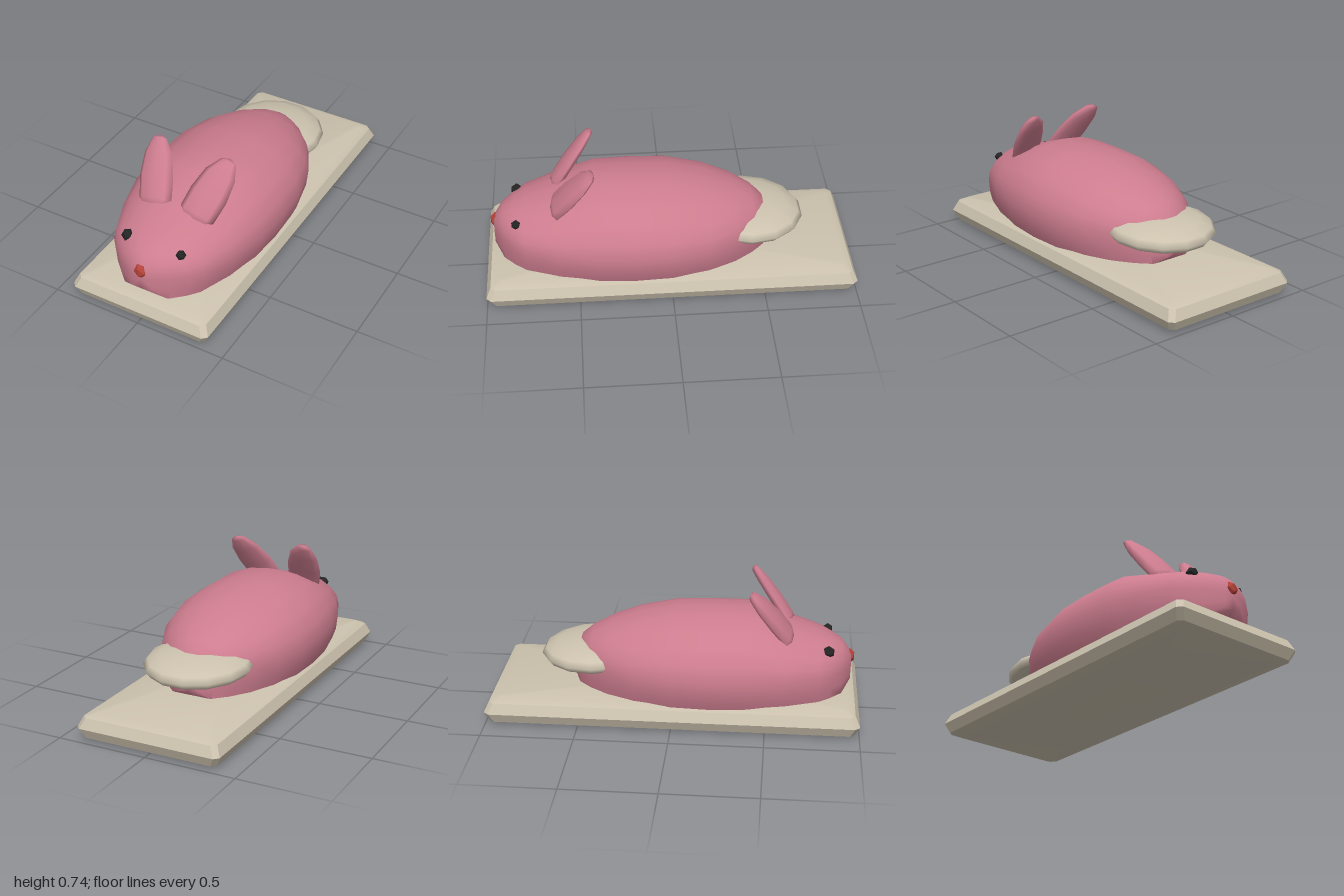
import * as THREE from 'three';
import { toCreasedNormals } from 'three/addons/utils/BufferGeometryUtils.js';

const material = (name, color) => {
  const m = new THREE.MeshStandardMaterial({ color });
  m.name = name;
  return m;
};

// Closed skin through rings of points (anticlockwise seen from the first end).
function loft(rings, first, last, crease) {
  const n = rings[0].length, pos = [...rings.flat(2), ...first, ...last], idx = [];
  const a = rings.length * n, b = a + 1, end = a - n;
  for (let j = 0; j < n; j++) {
    const k = (j + 1) % n;
    idx.push(a, j, k, b, end + k, end + j);
    for (let i = 0; i < rings.length - 1; i++) {
      const p = i * n, q = p + n;
      idx.push(p + j, q + j, p + k, p + k, q + j, q + k);
    }
  }
  const g = new THREE.BufferGeometry();
  g.setAttribute('position', new THREE.Float32BufferAttribute(pos, 3));
  g.setIndex(idx);
  g.computeVertexNormals();
  return crease ? toCreasedNormals(g, crease) : g;
}

// Rectangular slab with bevelled edges and clipped corners.
function slabGeometry() {
  const levels = [[0.15, 0.335, 0.935], [0.13, 0.38, 0.975], [0.075, 0.405, 1], [0.02, 0.38, 0.975], [0, 0.335, 0.935]];
  const c = 0.025;
  const rings = levels.map(([y, x, z]) => [
    [x, y, z - c], [x, y, -z + c], [x - c, y, -z], [-x + c, y, -z],
    [-x, y, -z + c], [-x, y, z - c], [-x + c, y, z], [x - c, y, z],
  ]);
  return loft(rings, [0, 0.15, 0], [0, 0, 0], 0.65);
}

// Domed body, flat underneath: z, half width, top, widest height, bottom.
function bodyGeometry() {
  const stations = [
    [0.95, 0.055, 0.34, 0.27, 0.2], [0.9, 0.15, 0.4, 0.285, 0.145], [0.84, 0.22, 0.43, 0.29, 0.14],
    [0.78, 0.272, 0.455, 0.295, 0.135], [0.6, 0.345, 0.51, 0.3, 0.13], [0.4, 0.392, 0.58, 0.3, 0.13],
    [0.2, 0.406, 0.577, 0.3, 0.13], [0, 0.398, 0.57, 0.3, 0.13], [-0.2, 0.352, 0.53, 0.3, 0.13],
    [-0.35, 0.278, 0.48, 0.3, 0.13], [-0.45, 0.2, 0.435, 0.28, 0.135], [-0.515, 0.13, 0.385, 0.26, 0.145],
    [-0.55, 0.05, 0.28, 0.22, 0.18],
  ];
  const rings = stations.map(([z, w, top, mid, bot]) => {
    const ring = [];
    for (let i = 0; i <= 10; i++) {
      const t = (i / 10) * Math.PI;
      ring.push([w * Math.cos(t), mid + (top - mid) * Math.sin(t), z]);
    }
    for (const [fx, fy] of [[-0.97, 0.55], [-0.89, 1], [0, 1], [0.89, 1], [0.97, 0.55]])
      ring.push([w * fx, mid + (bot - mid) * fy, z]);
    return ring;
  });
  return loft(rings, [0, 0.27, 0.955], [0, 0.22, -0.555], 0.9);
}

// Flattened ear leaning back and outward; side is +1 or -1.
function earGeometry(side) {
  const u = new THREE.Vector3(0.975, -0.2 * side, 0).normalize();
  const d = new THREE.Vector3(0.28 * side, 0.7, -0.66);
  const v = d.cross(u).normalize();
  const stations = [ // x, y, z, half width, half thickness
    [0.205, 0.725, 0.415, 0.042, 0.02], [0.183, 0.665, 0.465, 0.085, 0.03],
    [0.155, 0.575, 0.535, 0.103, 0.036], [0.125, 0.485, 0.6, 0.1, 0.037], [0.12, 0.45, 0.615, 0.09, 0.036],
  ];
  const rings = stations.map(([x, y, z, w, t]) => Array.from({ length: 8 }, (_, j) => {
    const a = (j / 8) * Math.PI * 2;
    return new THREE.Vector3(x * side, y, z)
      .addScaledVector(u, w * Math.cos(a)).addScaledVector(v, t * Math.sin(a)).toArray();
  }));
  return loft(rings, [0.21 * side, 0.738, 0.405], [0.12 * side, 0.44, 0.62]);
}

export function createModel() {
  const model = new THREE.Group();
  const pink = material('pink', 0xcd7d8f);
  const cream = material('cream', 0xccc2ae);
  const black = material('black', 0x242424);
  const red = material('red', 0xb4433a);
  const add = (name, geometry, mat) => {
    const mesh = new THREE.Mesh(geometry, mat);
    mesh.name = name;
    model.add(mesh);
    return mesh;
  };

  add('base', slabGeometry(), cream);
  add('body', bodyGeometry(), pink);

  // Wide, flat tail wrapped round the rear
  const tail = add('tail', new THREE.SphereGeometry(1, 14, 8), cream);
  tail.scale.set(0.29, 0.082, 0.308);
  tail.position.set(0, 0.305, -0.43);
  tail.rotation.x = -0.04;

  for (const side of [1, -1]) {
    const label = side > 0 ? 'left' : 'right';
    add(label + 'Ear', earGeometry(side), pink);
    const eye = add(label + 'Eye', new THREE.IcosahedronGeometry(1, 0), black);
    const r = side > 0 ? 0.027 : 0.034;
    eye.scale.setScalar(r);
    eye.position.set(side > 0 ? 0.165 : -0.15, 0.398, 0.825);
  }

  const nose = add('nose', new THREE.IcosahedronGeometry(1, 0), red);
  nose.scale.set(0.038, 0.043, 0.03);
  nose.position.set(0, 0.313, 0.943);
  return model;
}
